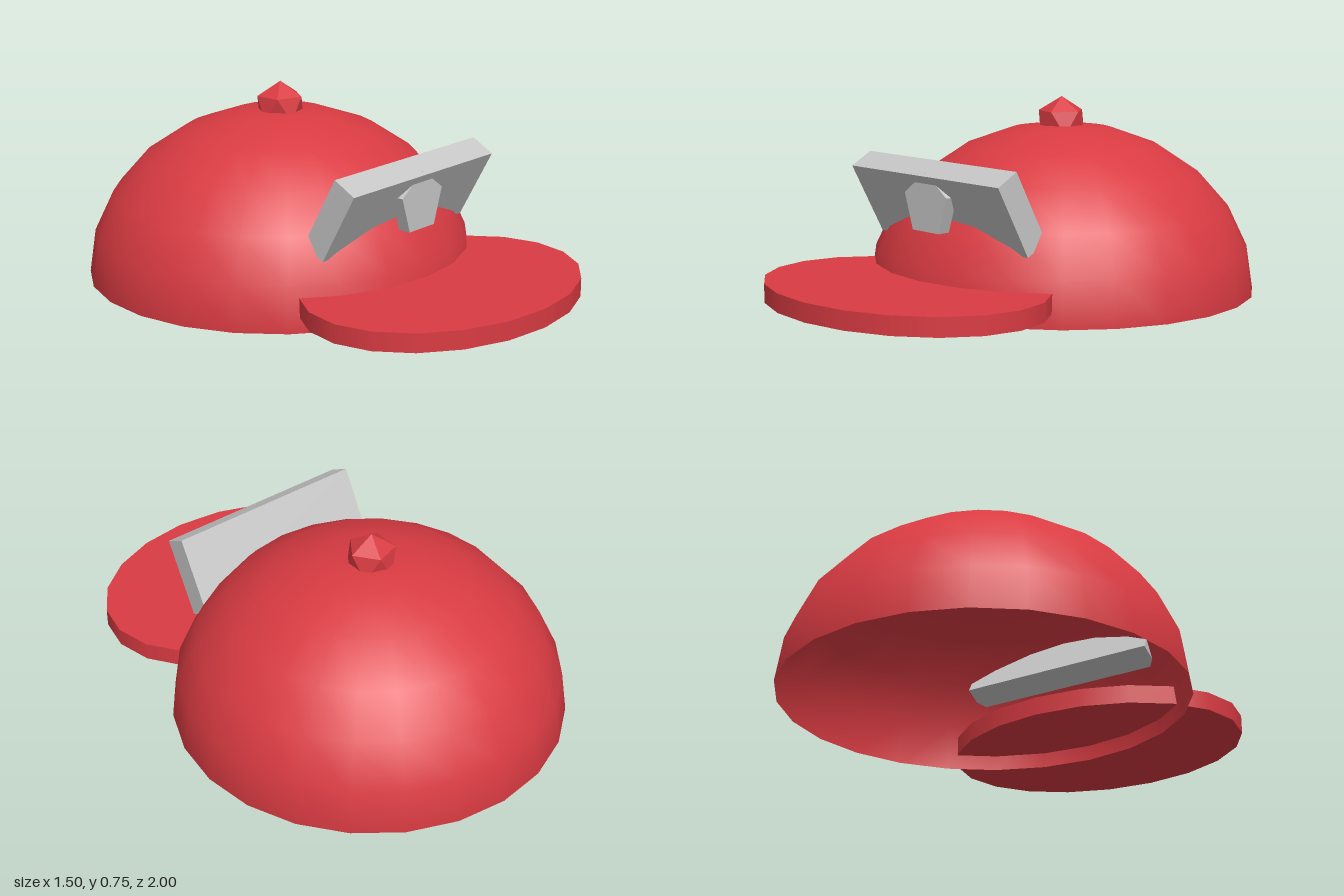
import * as THREE from 'three';

export function createModel() {
  const group = new THREE.Group();

  const red = new THREE.MeshStandardMaterial({ color: 0xd93b42, side: THREE.DoubleSide });
  red.name = 'red cloth';
  const redFaceted = new THREE.MeshStandardMaterial({ color: 0xd93b42, flatShading: true });
  redFaceted.name = 'red faceted';
  const grey = new THREE.MeshStandardMaterial({ color: 0xc6c6c6, flatShading: true });
  grey.name = 'light grey';

  const add = (name, geometry, material, x, y, z) => {
    const mesh = new THREE.Mesh(geometry, material);
    mesh.name = name;
    mesh.position.set(x, y, z);
    group.add(mesh);
    return mesh;
  };

  // Open hollow crown, slightly flattened
  const crown = new THREE.SphereGeometry(0.75, 24, 6, 0, Math.PI * 2, 0, Math.PI / 2);
  crown.scale(1, 0.65 / 0.75, 1);
  add('crown', crown, red, 0, 0, -0.25);

  // Oval brim running into the crown
  const brim = new THREE.CylinderGeometry(0.6, 0.6, 0.07, 20);
  brim.scale(1, 1, 0.75);
  add('brim', brim, red, 0, 0.09, 0.55);

  // Faceted button, one corner pointing straight up
  const button = new THREE.IcosahedronGeometry(0.1, 0);
  button.rotateX(-Math.atan((1 + Math.sqrt(5)) / 2));
  button.rotateY(Math.PI / 2);
  add('topButton', button, redFaceted, 0, 0.65, -0.25);

  // Front plate leaning forward
  const plate = add('frontPlate', new THREE.BoxGeometry(0.8, 0.3, 0.1), grey, 0, 0.4, 0.35);
  plate.rotation.x = 0.5;

  // Five-sided badge standing upright in the plate
  const badge = new THREE.CylinderGeometry(0.12, 0.12, 0.05, 5);
  badge.rotateX(-Math.PI / 2);
  add('badge', badge, grey, 0, 0.4, 0.425);

  return group;
}
